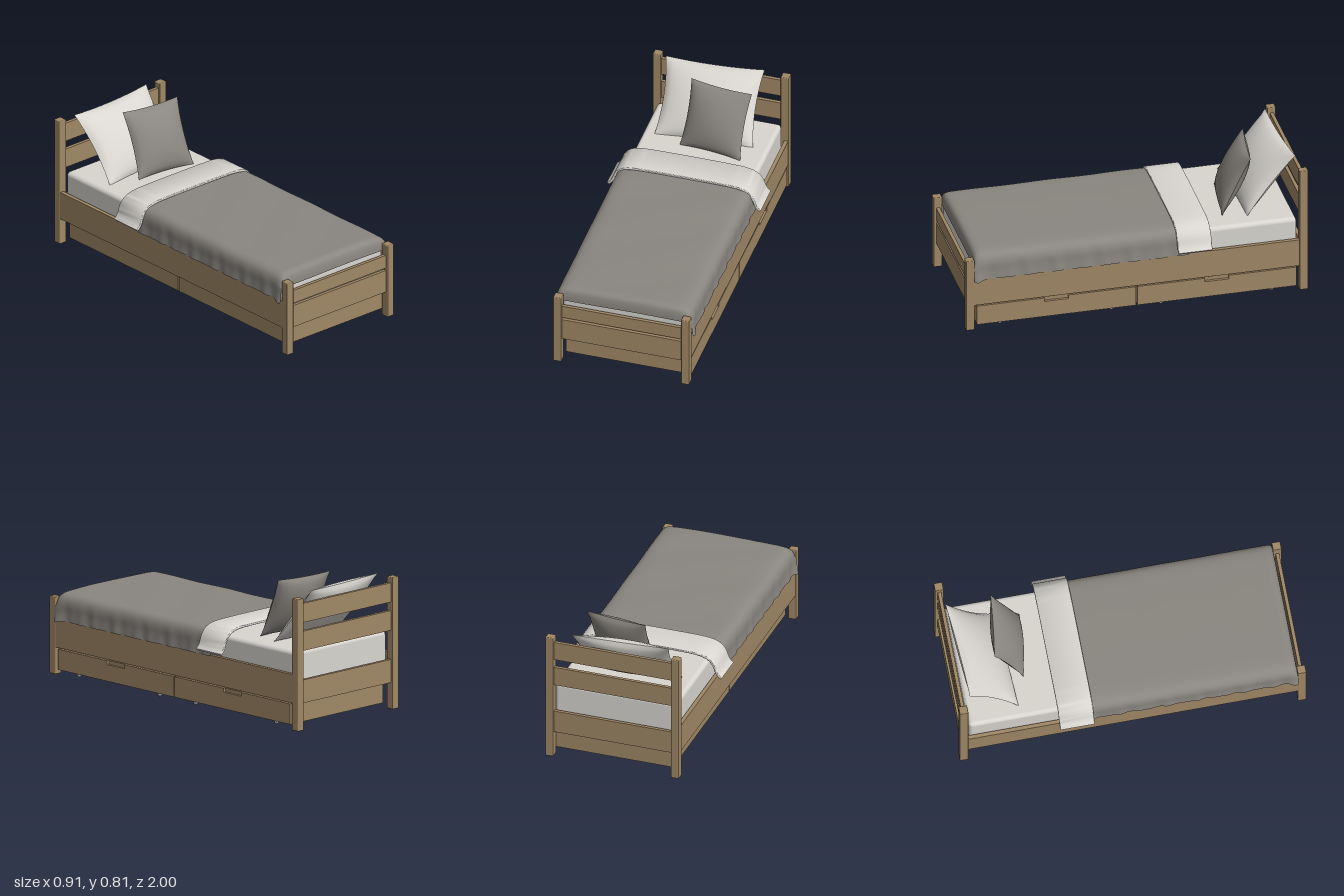
import * as THREE from 'three';
import { mergeGeometries, mergeVertices, toCreasedNormals } from 'three/addons/utils/BufferGeometryUtils.js';
import { RoundedBoxGeometry } from 'three/addons/geometries/RoundedBoxGeometry.js';

const mat = (name, color, side = THREE.FrontSide) => {
  const m = new THREE.MeshStandardMaterial({ color, side });
  m.name = name;
  return m;
};
const V2 = (x, y) => new THREE.Vector2(x, y);

export function createModel() {
  const bed = new THREE.Group();
  bed.name = 'bed';
  const wood = mat('oak wood', 0xa08866);
  const linen = mat('pale linen', 0xd9d6d0);
  const grey = mat('warm grey fabric', 0x8a8680, THREE.DoubleSide);
  const metal = mat('wheel grey', 0x8f8f8f);

  const add = (name, geo, material, parent = bed) => {
    const m = new THREE.Mesh(geo, material);
    m.name = name;
    parent.add(m);
    return m;
  };
  // Box given by its extents on each axis, optionally rounded
  const box = (name, [x0, x1], [y0, y1], [z0, z1], material = wood, r = 0, parent = bed) => {
    const s = [x1 - x0, y1 - y0, z1 - z0];
    const g = r ? new RoundedBoxGeometry(...s, 3, r) : new THREE.BoxGeometry(...s);
    const m = add(name, g, material, parent);
    m.position.set((x0 + x1) / 2, (y0 + y1) / 2, (z0 + z1) / 2);
    return m;
  };

  // Posts and side rails
  for (const s of [-1, 1]) {
    const span = (a, b) => (s > 0 ? [a, b] : [-b, -a]);
    box('footPost', span(0.355, 0.403), [0, 0.45], [0.95, 1], wood, 0.005);
    box('headPost', span(0.355, 0.403), [0, 0.77], [-1, -0.95], wood, 0.005);
    box('sideRail', span(0.377, 0.4), [0.158, 0.325], [-0.952, 0.952]);
  }
  // Cross boards of the foot and head ends
  for (const y of [[0.155, 0.29], [0.305, 0.385]]) box('footBoard', [-0.36, 0.36], y, [0.965, 0.985]);
  for (const y of [[0.155, 0.29], [0.46, 0.575], [0.625, 0.737]]) box('headBoard', [-0.36, 0.36], y, [-0.985, -0.965]);

  // Two drawers opening to the left side, with a finger notch in each front
  const fronts = (w) => {
    const h = w / 2;
    const shape = new THREE.Shape([
      V2(-h, 0.03), V2(h, 0.03), V2(h, 0.15), V2(0.07, 0.15), V2(0.07, 0.127),
      V2(-0.07, 0.127), V2(-0.07, 0.15), V2(-h, 0.15)]);
    return new THREE.ExtrudeGeometry(shape, { depth: 0.016, bevelEnabled: false }).rotateY(Math.PI / 2);
  };
  for (const [z0, z1] of [[0.006, 0.935], [-0.932, -0.003]]) {
    const d = new THREE.Group();
    d.name = 'drawer';
    bed.add(d);
    add('drawerFront', fronts(z1 - z0), wood, d).position.set(0.383, 0, (z0 + z1) / 2);
    box('drawerInnerFront', [0.373, 0.383], [0.042, 0.148], [z0, z1], wood, 0, d);
    box('drawerBottom', [-0.345, 0.383], [0.03, 0.042], [z0, z1], wood, 0, d);
    box('drawerBack', [-0.345, -0.329], [0.042, 0.145], [z0, z1], wood, 0, d);
    for (const z of [z0, z1 - 0.014]) box('drawerEnd', [-0.329, 0.373], [0.042, 0.145], [z, z + 0.014], wood, 0, d);
    for (const z of [z0 + 0.14, z1 - 0.14]) {
      add('drawerWheel', new THREE.SphereGeometry(0.013, 16, 12), metal, d).position.set(0.368, 0.017, z);
    }
  }

  box('mattress', [-0.367, 0.367], [0.25, 0.45], [-0.942, 0.945], linen, 0.025);

  // Blanket: one cross-section swept along z, dropping over the foot end
  const half = [[0, 0.487], [0.2, 0.486], [0.335, 0.481], [0.383, 0.464], [0.402, 0.425], [0.404, 0.37], [0.408, 0.322]];
  const curveOf = (pts) => new THREE.SplineCurve([
    ...pts.slice(1).reverse().map(([x, y]) => V2(-x, y)), ...pts.map(([x, y]) => V2(x, y))]);
  const section = curveOf(half);
  const NX = 64, NZ = 90, drops = [0.004, 0.012, 0.028, 0.055, 0.082], outs = [0.018, 0.03, 0.038, 0.042, 0.043];
  const blanket = new THREE.PlaneGeometry(1, 1, NX, NZ);
  const bp = blanket.attributes.position;
  for (let j = 0; j <= NZ; j++) {
    const k = j - (NZ - drops.length + 1);
    const z = k < 0 ? -0.3 + 1.21 * j / (NZ - drops.length) : 0.91 + outs[k];
    const drop = k < 0 ? 0 : drops[k];
    for (let i = 0; i <= NX; i++) {
      const p = section.getPointAt(i / NX);
      const hem = THREE.MathUtils.clamp((0.45 - p.y) / 0.12, 0, 1);
      const corner = Math.exp(-(((z - 0.935) / 0.025) ** 2)) * hem;
      const side = Math.sign(p.x);
      const x = p.x + side * hem * (0.003 * Math.sin(z * 42 + side) + 0.002 * Math.sin(z * 71) + 0.012 * corner);
      const y = Math.max(p.y - drop, Math.min(p.y, 0.405)) - 0.012 * corner
        + (1 - hem) * 0.0015 * Math.sin(z * 14 + p.x * 9);
      bp.setXYZ(j * (NX + 1) + i, x, y, z);
    }
  }
  blanket.computeVertexNormals();
  add('blanket', blanket, grey);

  // Folded sheet band: a thick ribbon flaring out at both hems
  const ribbon = curveOf([[0, 0.497], [0.2, 0.496], [0.31, 0.491], [0.37, 0.473], [0.404, 0.438], [0.419, 0.4], [0.431, 0.376], [0.447, 0.361]]);
  const upper = [], lower = [];
  for (let i = 0; i <= 60; i++) {
    const p = ribbon.getPointAt(i / 60), t = ribbon.getTangentAt(i / 60);
    upper.push(V2(p.x - t.y * 0.003, p.y + t.x * 0.003));
    lower.unshift(V2(p.x + t.y * 0.003, p.y - t.x * 0.003));
  }
  const fold = new THREE.ExtrudeGeometry(new THREE.Shape([...upper, ...lower]), {
    depth: 0.19, bevelSize: 0.005, bevelThickness: 0.005, bevelSegments: 3 });
  add('sheetFold', toCreasedNormals(fold, 0.9), linen).position.z = -0.425;

  // Pillow: two bulged faces meeting in a seam with pointed corners
  const pillow = (name, w, h, thick, material, pos, lean, yaw) => {
    const faces = [1, -1].map((s) => {
      const g = new THREE.PlaneGeometry(2, 2, 28, 28);
      const p = g.attributes.position;
      for (let i = 0; i < p.count; i++) {
        const u = p.getX(i), v = p.getY(i), a = 1 - u * u, b = 1 - v * v;
        const bulge = Math.pow(Math.max(a * b, 0), 0.6) * thick / 2;
        p.setXYZ(i, u * w / 2 * (1 - 0.07 * b), v * h / 2 * (1 - 0.05 * a), bulge);
      }
      if (s < 0) g.rotateY(Math.PI);
      g.deleteAttribute('uv');
      g.deleteAttribute('normal');
      return mergeVertices(g, 1e-5);
    });
    faces.forEach((g) => g.computeVertexNormals());
    const m = add(name, mergeGeometries(faces), material);
    m.rotation.set(-lean, yaw, 0, 'YXZ');
    m.position.set(...pos);
  };
  pillow('sleepingPillow', 0.575, 0.45, 0.14, linen, [-0.02, 0.62, -0.8], 0.69, 0.06);
  pillow('accentPillow', 0.375, 0.395, 0.13, grey, [0.066, 0.63, -0.64], 0.43, -0.125);

  return bed;
}
